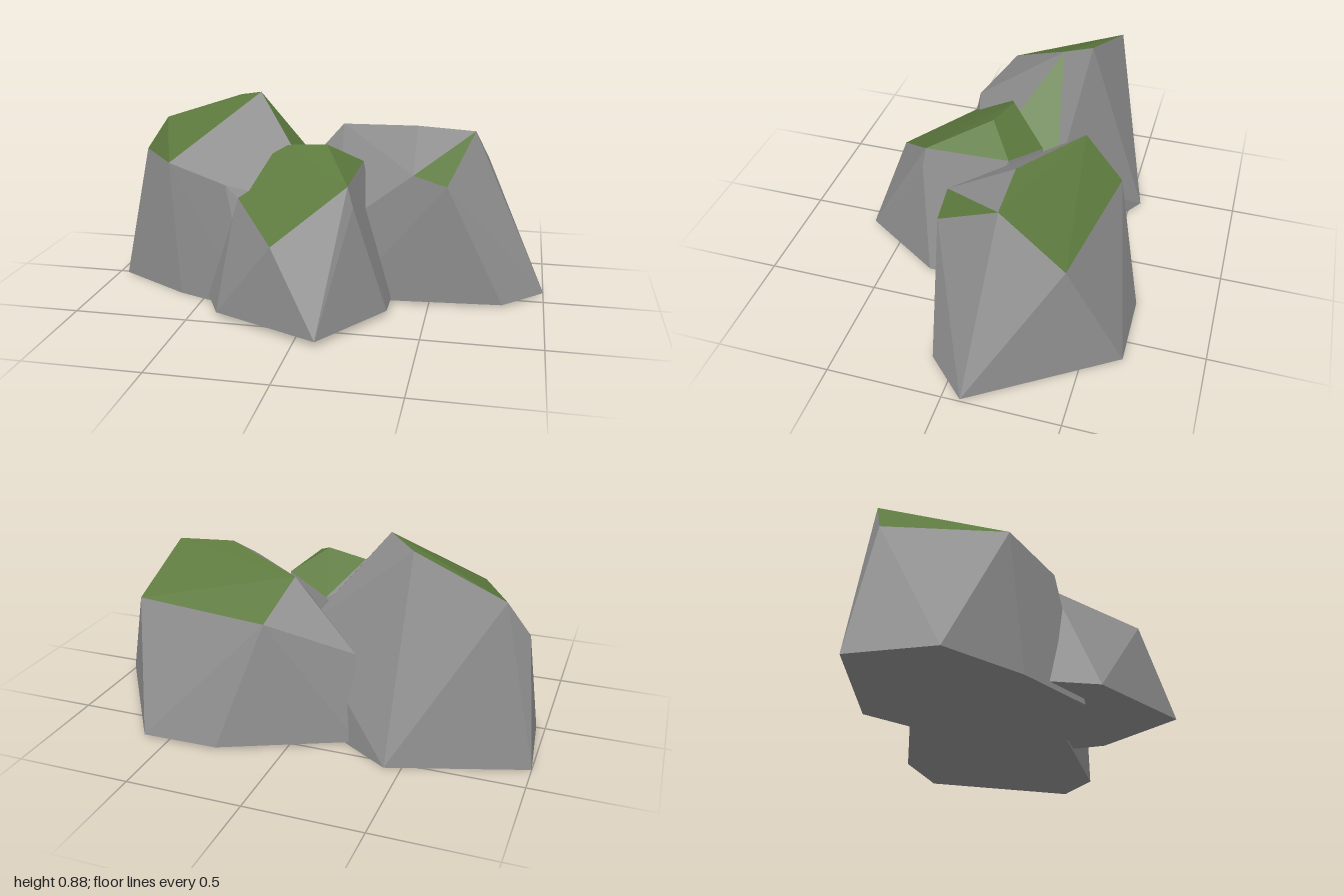
import * as THREE from 'three';
import { ConvexGeometry } from 'three/addons/geometries/ConvexGeometry.js';

const stone = new THREE.MeshStandardMaterial({ name: 'stone grey', color: 0x8e8e8e });
const moss = new THREE.MeshStandardMaterial({ name: 'moss green', color: 0x5d7a3e });

// Faceted boulder: base outline [x, z] at height y, upper corners [x, y, z],
// and moss patches listed as indices of upper corners.
function boulder(name, y, base, upper, patches) {
  const top = upper.map((p) => new THREE.Vector3(...p));
  const hull = new ConvexGeometry([...base.map(([x, z]) => new THREE.Vector3(x, y, z)), ...top]);
  const pos = hull.attributes.position;
  const faces = { Stone: [], Moss: [] };
  const v = new THREE.Vector3();

  // A facet is mossy when all its corners belong to the same patch
  for (let i = 0; i < pos.count; i += 3) {
    const ids = [0, 1, 2].map((k) => {
      v.fromBufferAttribute(pos, i + k);
      return top.findIndex((t) => t.distanceTo(v) < 1e-4);
    });
    const mossy = patches.some((patch) => ids.every((id) => patch.includes(id)));
    const list = mossy ? faces.Moss : faces.Stone;
    for (let k = 0; k < 3; k++) list.push(pos.getX(i + k), pos.getY(i + k), pos.getZ(i + k));
  }

  const group = new THREE.Group();
  group.name = name;
  for (const [part, list] of Object.entries(faces)) {
    const geometry = new THREE.BufferGeometry();
    geometry.setAttribute('position', new THREE.Float32BufferAttribute(list, 3));
    geometry.computeVertexNormals();
    const mesh = new THREE.Mesh(geometry, part === 'Moss' ? moss : stone);
    mesh.name = name + part;
    group.add(mesh);
  }
  return group;
}

export function createModel() {
  const model = new THREE.Group();
  model.name = 'mossyRocks';

  // Tall boulder on the right-hand side of the cluster
  model.add(boulder('tallBoulder', 0,
    [[-1, -0.36], [-0.96, 0.01], [-0.62, 0.21], [-0.25, 0.35], [0.16, 0.25], [0.09, -0.22], [-0.43, -0.55]],
    [
      [-0.94, 0.55, -0.27], [-0.85, 0.7, -0.33], [-0.45, 0.84, -0.26], [-0.325, 0.875, -0.155],
      [-0.67, 0.6, 0.165], [-0.38, 0.54, 0.265], [0.04, 0.42, -0.22], [0.05, 0.42, 0.15],
    ],
    [[0, 1, 2, 3, 4], [3, 6, 7]]));

  // Wide boulder on the left-hand side
  model.add(boulder('wideBoulder', 0.013,
    [[1, -0.08], [0.82, 0.1], [0.12, 0.16], [-0.27, -0.41], [0.275, -0.66], [0.61, -0.665]],
    [
      [0.665, 0.735, -0.145], [0.72, 0.545, -0.43], [0.1, 0.545, -0.525], [0.03, 0.7, -0.345],
      [0.405, 0.75, -0.14], [0.42, 0.595, 0.15], [0.565, 0.55, 0.145], [0.1, 0.35, 0.16],
      [-0.24, 0.39, -0.35],
    ],
    [[0, 1, 2, 3, 4], [0, 5, 6]]));

  // Small boulder in front
  model.add(boulder('frontBoulder', 0.025,
    [[-0.48, 0.25], [-0.38, 0.45], [0.095, 0.66], [0.335, 0.29], [0.335, 0.15], [0.15, -0.12], [-0.3, -0.1]],
    [
      [-0.335, 0.49, 0.25], [-0.29, 0.6, 0.085], [-0.155, 0.675, 0.03], [0.03, 0.695, 0.07],
      [0.17, 0.585, 0.34], [-0.11, 0.375, 0.555], [0.175, 0.6, -0.04], [-0.03, 0.54, -0.14],
      [0.195, 0.5, 0.35], [-0.4, 0.31, 0.2],
    ],
    [[0, 1, 2, 3, 4, 5], [3, 4, 6], [2, 3, 6, 7]]));

  return model;
}
